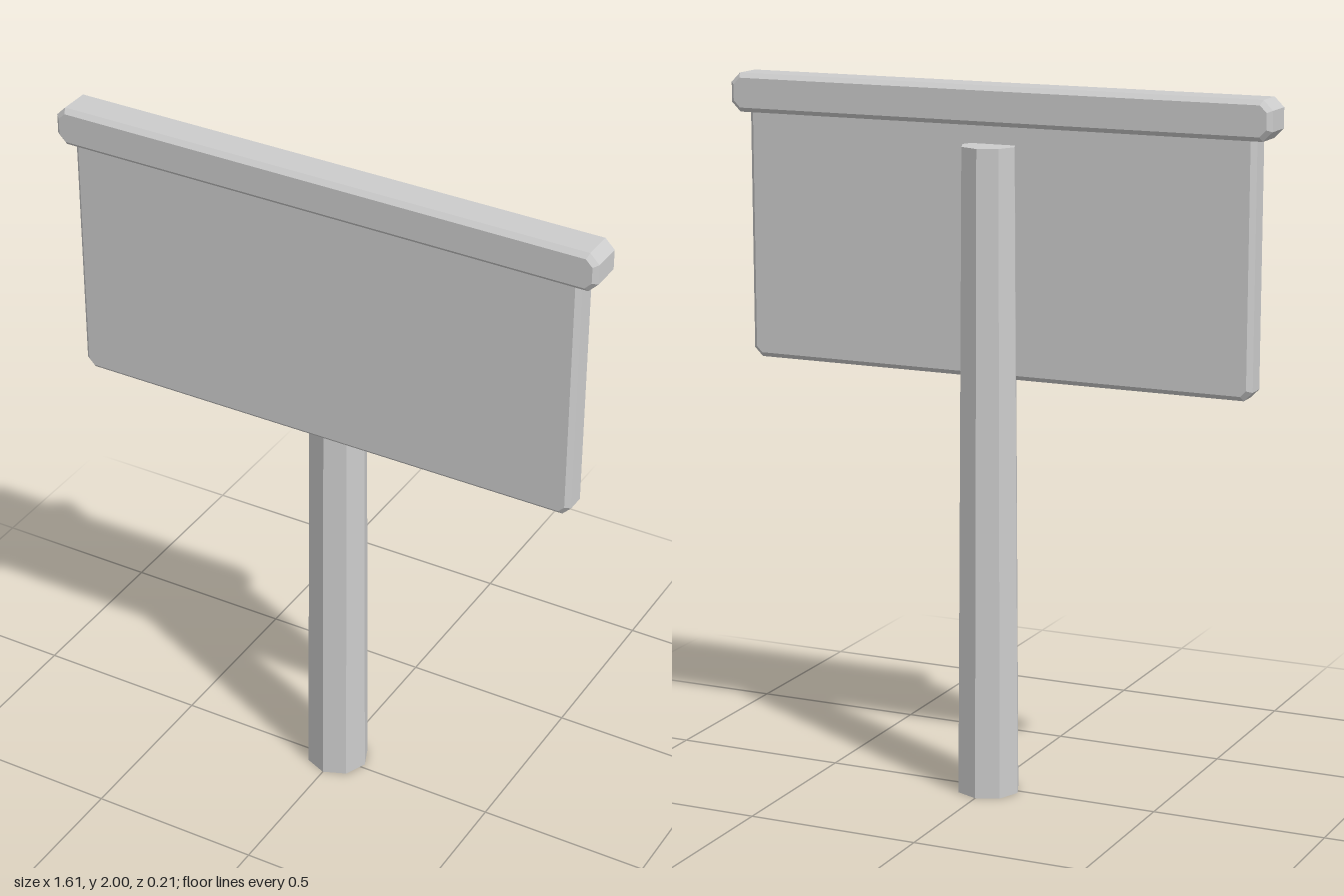
import * as THREE from 'three';

const grey = new THREE.MeshStandardMaterial({ color: 0xcccccc, flatShading: true });
grey.name = 'plain grey';

// Slab with cut corners and chamfered edges; sizes are the outer limits
function chamferedSlab(name, x, y0, y1, z0, z1, cut, bevel) {
  const w = x - bevel, b = y0 + bevel, t = y1 - bevel;
  const c = cut - bevel * 0.59; // corner cut of the inner outline
  const outline = new THREE.Shape([
    [-w + c, b], [w - c, b], [w, b + c], [w, t - c],
    [w - c, t], [-w + c, t], [-w, t - c], [-w, b + c],
  ].map(([px, py]) => new THREE.Vector2(px, py)));
  const geometry = new THREE.ExtrudeGeometry(outline, {
    depth: z1 - z0 - 2 * bevel,
    bevelEnabled: true, bevelSegments: 1, bevelSize: bevel, bevelThickness: bevel,
  });
  geometry.translate(0, 0, z0 + bevel);
  const mesh = new THREE.Mesh(geometry, grey);
  mesh.name = name;
  return mesh;
}

export function createModel() {
  const group = new THREE.Group();
  group.name = 'signpost';

  // Eight-sided tapering post behind the board
  const height = 1.84;
  const post = new THREE.Mesh(new THREE.CylinderGeometry(0.078, 0.091, height, 8), grey);
  post.name = 'post';
  post.position.set(0, height / 2, -0.016);
  group.add(post);

  // Sign board and the wider rail along its top
  group.add(chamferedSlab('board', 0.758, 1.187, 1.93, 0.014, 0.094, 0.025, 0.014));
  group.add(chamferedSlab('topRail', 0.807, 1.89, 2, -0.006, 0.107, 0.027, 0.013));

  return group;
}
